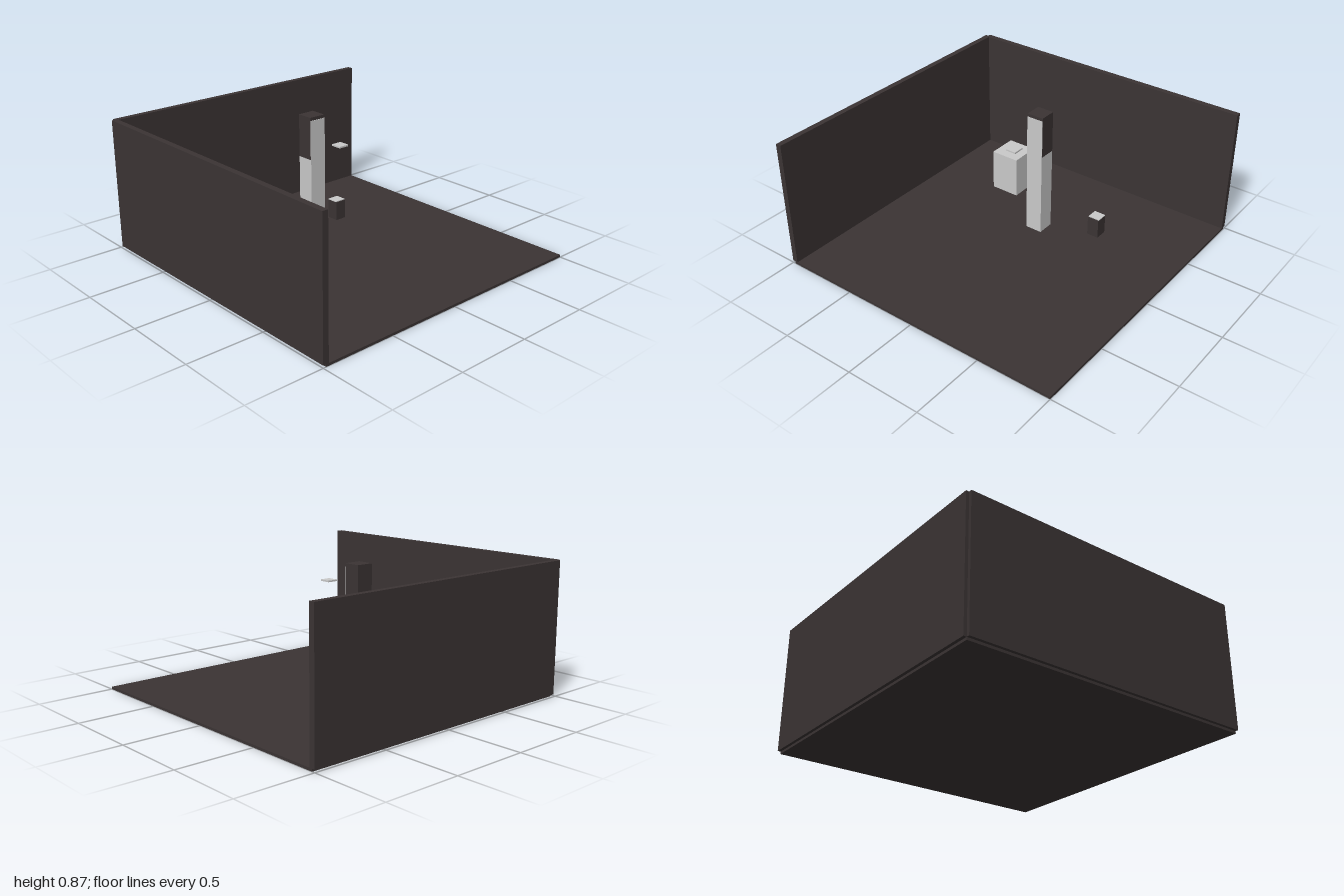
import * as THREE from 'three';

export function createModel() {
  const room = new THREE.Group();
  room.name = 'room';

  const dark = new THREE.MeshStandardMaterial({ color: 0x3b3434 });
  dark.name = 'dark brown';
  const light = new THREE.MeshStandardMaterial({ color: 0xcacaca });
  light.name = 'light grey';

  // Box given by its extents on each axis
  function box(name, material, [x0, x1], [y0, y1], [z0, z1]) {
    const mesh = new THREE.Mesh(new THREE.BoxGeometry(x1 - x0, y1 - y0, z1 - z0), material);
    mesh.position.set((x0 + x1) / 2, (y0 + y1) / 2, (z0 + z1) / 2);
    mesh.name = name;
    room.add(mesh);
  }

  // Floor and the two walls
  const floorTop = 0.016;
  const wallHeight = [floorTop, 0.866];
  box('floor', dark, [-0.98, 1], [0, floorTop], [-0.98, 1]);
  box('backWall', dark, [-0.98, 1], wallHeight, [-1, -0.962]);
  box('sideWall', dark, [-1, -0.962], wallHeight, [-0.98, 1]);

  // Large crate
  box('crate', light, [-0.53, -0.33], [floorTop, 0.3], [-0.657, -0.457]);

  // Pillar: light lower block, dark upper block, tall light front panel
  const pillarX = [-0.05, 0.065];
  const pillarZ = [-0.314, -0.204];
  box('pillarBase', light, pillarX, [floorTop, 0.585], pillarZ);
  box('pillarTop', dark, pillarX, [0.585, 0.864], pillarZ);
  box('pillarFrontPanel', light, pillarX, [floorTop, 0.843], [-0.204, -0.2]);

  // Small bin with a thin lid
  box('bin', dark, [0.32, 0.4], [floorTop, 0.146], [-0.456, -0.373]);
  box('binLid', light, [0.32, 0.4], [0.146, 0.151], [-0.456, -0.381]);

  // Hovering ceiling lamp plate
  box('lampPlate', light, [-0.028, 0.042], [0.721, 0.731], [-0.026, 0.046]);

  return room;
}
